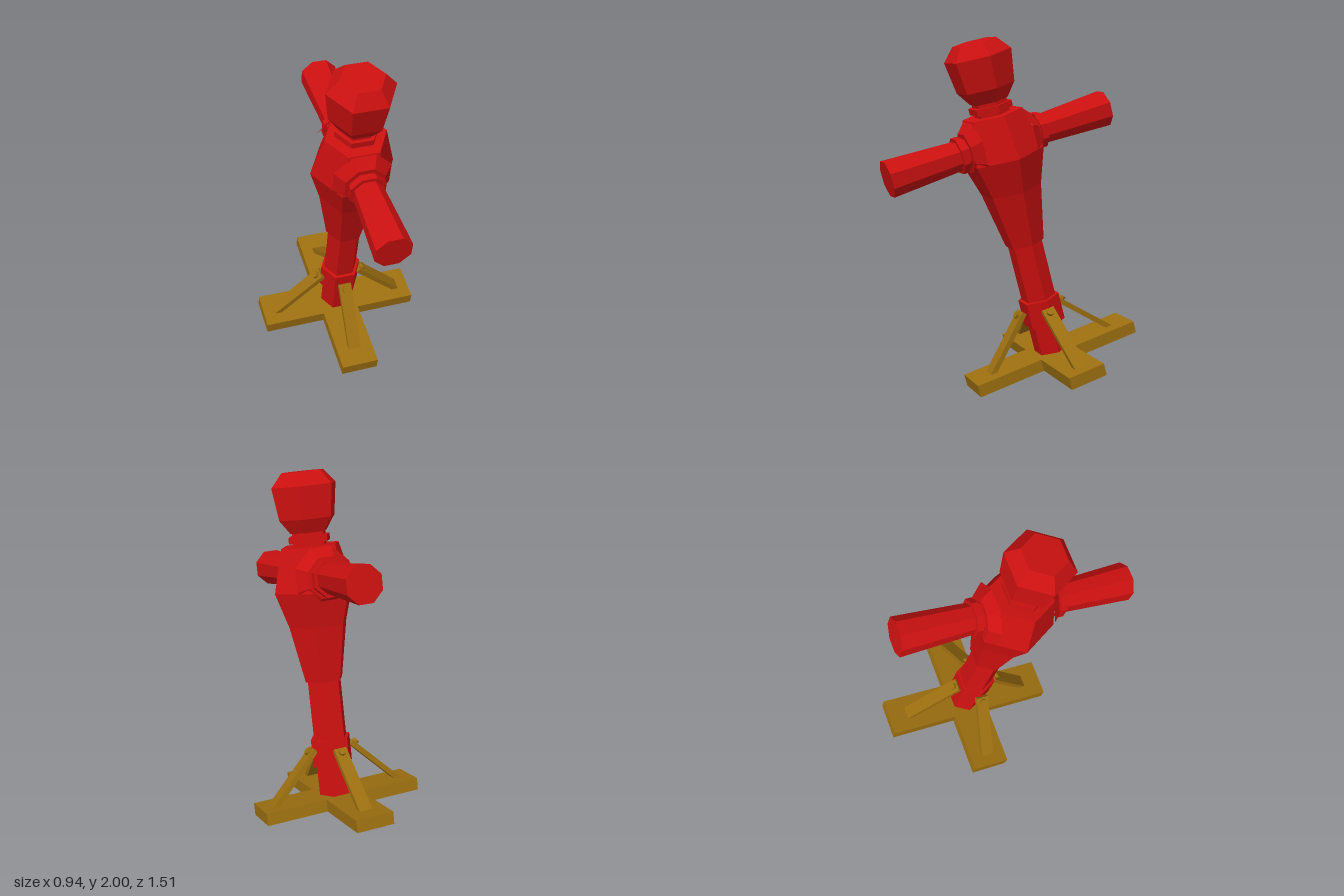
import * as THREE from 'three';

const red = new THREE.MeshStandardMaterial({ color: 0xcc1010, flatShading: true });
const redOpen = new THREE.MeshStandardMaterial({ color: 0xcc1010, flatShading: true, side: THREE.DoubleSide });
const wood = new THREE.MeshStandardMaterial({ color: 0x9c6f10, flatShading: true, side: THREE.DoubleSide });

// Faceted turned part from [radius, height] pairs, bottom to top
function turned(name, profile, sides = 6, start = Math.PI / 2, material = red) {
  const points = profile.map(([r, y]) => new THREE.Vector2(r, y));
  const mesh = new THREE.Mesh(new THREE.LatheGeometry(points, sides, start), material);
  mesh.name = name;
  return mesh;
}

// Cross-shaped foot: a top plate with side walls, open underneath
function createBase() {
  const base = new THREE.Group();
  base.name = 'crossBase';
  const a = 0.11, lx = 0.47, lz = 0.515, h = 0.07;
  const outline = [
    [a, a], [a, lz], [-a, lz], [-a, a], [-lx, a], [-lx, -a],
    [-a, -a], [-a, -lz], [a, -lz], [a, -a], [lx, -a], [lx, a],
  ].map(([x, z]) => new THREE.Vector2(x, z));

  const plate = new THREE.Mesh(new THREE.ShapeGeometry(new THREE.Shape(outline)), wood);
  plate.name = 'basePlate';
  plate.rotation.x = -Math.PI / 2;
  plate.position.y = h;
  base.add(plate);

  outline.forEach((p, i) => {
    const q = outline[(i + 1) % outline.length];
    const wall = new THREE.Mesh(new THREE.PlaneGeometry(p.distanceTo(q), h), wood);
    wall.name = 'baseWall';
    wall.position.set((p.x + q.x) / 2, h / 2, (p.y + q.y) / 2);
    wall.rotation.y = Math.atan2(-(q.y - p.y), q.x - p.x) + Math.PI;
    base.add(wall);
  });
  return base;
}

// Diagonal strut leaning on the post collar, with its bolt
function createBrace() {
  const brace = new THREE.Group();
  brace.name = 'brace';
  const top = new THREE.Vector2(0.112, 0.345), foot = new THREE.Vector2(0.4, 0.052);
  const tilted = new THREE.Group();
  tilted.position.set(0, (top.y + foot.y) / 2, (top.x + foot.x) / 2);
  tilted.rotation.x = -Math.atan2(foot.x - top.x, top.y - foot.y);
  const length = top.distanceTo(foot);

  const strut = new THREE.Mesh(new THREE.BoxGeometry(0.075, length, 0.03), wood);
  strut.name = 'strut';
  const bolt = new THREE.Mesh(new THREE.CylinderGeometry(0.021, 0.021, 0.05, 8), wood);
  bolt.name = 'bolt';
  bolt.rotation.x = Math.PI / 2;
  bolt.position.set(0, length / 2 - 0.03, 0.008);
  tilted.add(strut, bolt);
  brace.add(tilted);
  return brace;
}

// Octagonal arm with a flared socket and a collar, running outward along +y
function createArm(length) {
  const k = 1 / Math.cos(Math.PI / 8);
  const scale = (profile) => profile.map(([r, y]) => [r * k, y]);
  const arm = new THREE.Group();
  const part = (name, profile) => arm.add(turned(name, scale(profile), 8, Math.PI / 8));
  part('armSocket', [[0.16, 0.152], [0.11, 0.208], [0, 0.208]]);
  part('armCollar', [[0.084, 0.2], [0.084, 0.225], [0.098, 0.225], [0.098, 0.26], [0, 0.26]]);
  part('arm', [[0.078, 0.24], [0.098, length], [0, length]]);
  return arm;
}

export function createModel() {
  const model = new THREE.Group();
  model.name = 'trainingDummy';

  // Everything leans forward together
  const lean = new THREE.Group();
  lean.name = 'leaningFrame';
  lean.position.set(0, 0.135, -0.255);
  lean.rotation.x = THREE.MathUtils.degToRad(15);
  model.add(lean);

  lean.add(createBase());
  for (let i = 0; i < 4; i++) {
    const brace = createBrace();
    brace.rotation.y = i * Math.PI / 2;
    lean.add(brace);
  }

  const figure = new THREE.Group();
  figure.name = 'figure';
  figure.position.set(0.006, 0, -0.006);
  lean.add(figure);

  // Post and its collar
  figure.add(turned('post', [[0.1, 0.06], [0.1, 0.75]], 6, Math.PI / 2, redOpen));
  figure.add(turned('postCollar', [[0.1, 0.24], [0.12, 0.24], [0.12, 0.4], [0.1, 0.4]]));

  // Torso, neck and head
  figure.add(turned('torso', [
    [0, 0.738], [0.112, 0.738], [0.173, 1.06], [0.236, 1.26], [0.172, 1.5], [0, 1.5],
  ]));
  figure.add(turned('neck', [
    [0.1, 1.49], [0.1, 1.52], [0.123, 1.52], [0.123, 1.555], [0.1, 1.555], [0.1, 1.6],
  ]));
  figure.add(turned('head', [
    [0, 1.575], [0.108, 1.575], [0.164, 1.652], [0.19, 1.83], [0.123, 1.905], [0, 1.905],
  ]));

  // Front and back arms
  for (const side of [1, -1]) {
    const arm = createArm(side > 0 ? 0.671 : 0.674);
    arm.name = side > 0 ? 'frontArm' : 'backArm';
    arm.position.y = 1.335;
    arm.rotation.x = side * Math.PI / 2;
    figure.add(arm);
  }
  return model;
}
